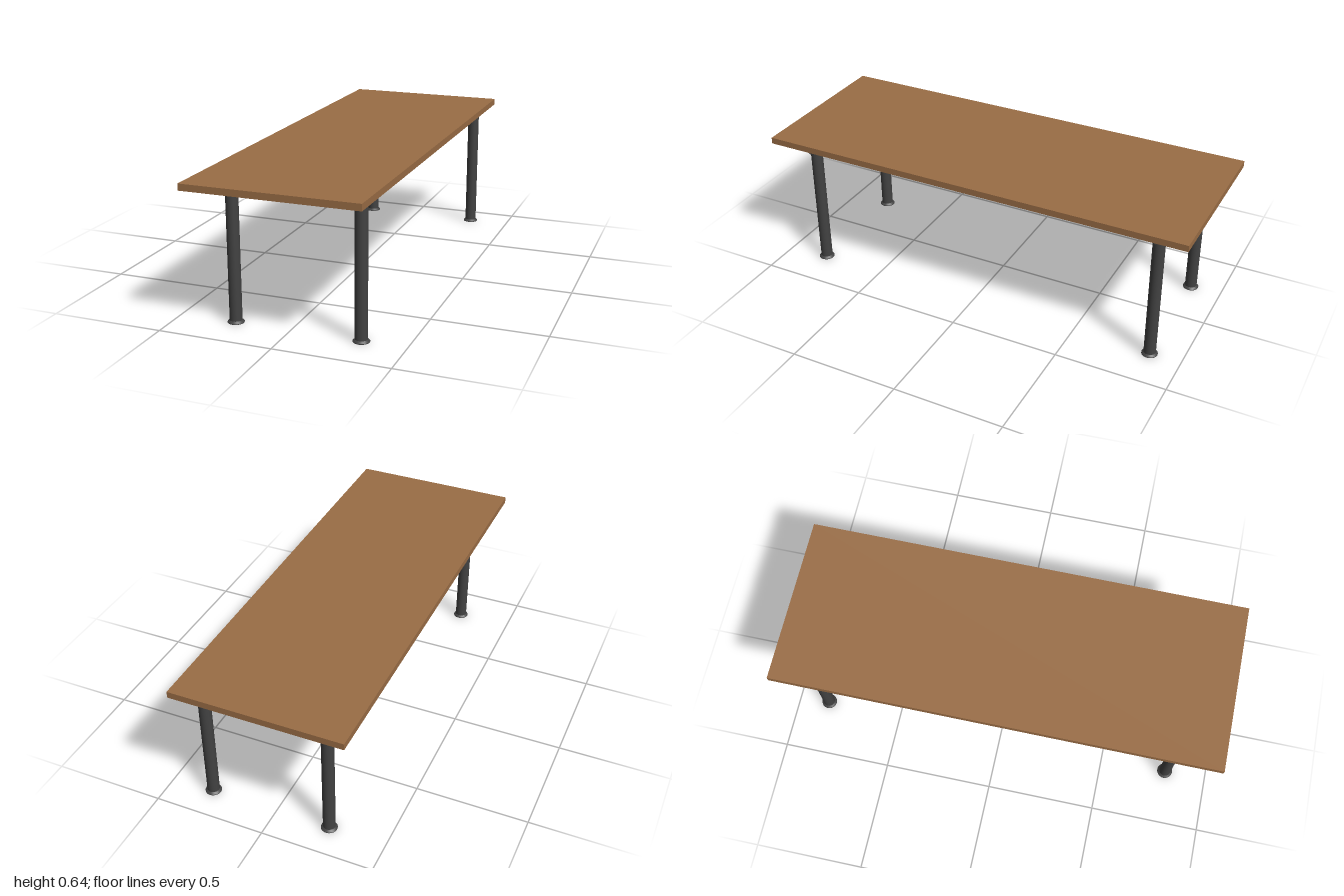
import * as THREE from 'three';

export function createModel() {
  const wood = new THREE.MeshStandardMaterial({ color: 0x9a6d45 });
  wood.name = 'brown wood';
  const metal = new THREE.MeshStandardMaterial({ color: 0x424242 });
  metal.name = 'dark metal';

  const model = new THREE.Group();
  model.name = 'table';

  const add = (name, geometry, material, x, y, z, parent = model) => {
    const mesh = new THREE.Mesh(geometry, material);
    mesh.name = name;
    mesh.position.set(x, y, z);
    parent.add(mesh);
    return mesh;
  };

  // Table top slab
  const topBottom = 0.607, thickness = 0.029;
  add('tableTop', new THREE.BoxGeometry(0.762, thickness, 2), wood, 0, topBottom + thickness / 2, 0);

  // Shared leg parts: round post, flared foot on a thin rim, and the rail
  const radius = 0.0268;
  const post = new THREE.CylinderGeometry(radius, radius, topBottom - 0.01, 32);
  const flare = new THREE.CylinderGeometry(radius, 0.0355, 0.008, 32);
  const rim = new THREE.CylinderGeometry(0.0355, 0.0355, 0.003, 32);
  const rail = new THREE.CylinderGeometry(0.0125, 0.0125, 0.654, 24);

  // Two leg frames, each a pair of legs joined by a rail that passes through them
  for (const [end, z, xs] of [['front', 0.808, [-0.248, 0.307]], ['back', -0.857, [-0.245, 0.307]]]) {
    const frame = new THREE.Group();
    frame.name = end + 'LegFrame';
    frame.position.z = z;
    model.add(frame);
    xs.forEach((x, i) => {
      const side = i ? 'Left' : 'Right';
      add(end + side + 'Leg', post, metal, x, (topBottom + 0.01) / 2, 0, frame);
      add(end + side + 'FootFlare', flare, metal, x, 0.007, 0, frame);
      add(end + side + 'FootRim', rim, metal, x, 0.0015, 0, frame);
    });
    add(end + 'Rail', rail, metal, 0.0265, 0.593, 0, frame).rotation.z = Math.PI / 2 + 0.004;
  }
  return model;
}
